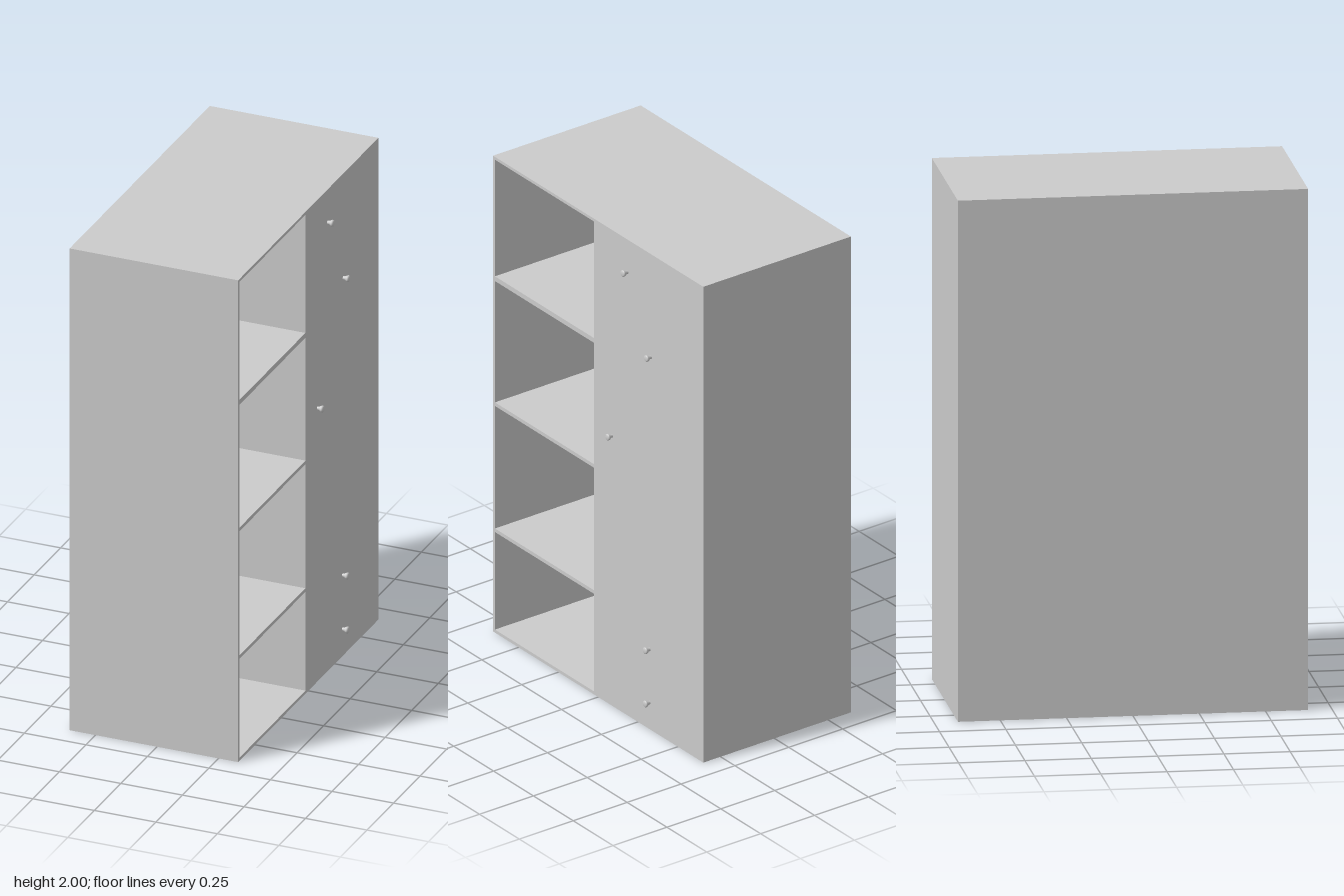
import * as THREE from 'three';

const BACK = -0.355, SIDE = 0.33, HALF_Z = 0.66, HEIGHT = 2, PANEL = 0.013;

// Rectangle outline given as corner coordinates
function trace(path, x0, y0, x1, y1) {
  path.moveTo(x0, y0);
  path.lineTo(x1, y0);
  path.lineTo(x1, y1);
  path.lineTo(x0, y1);
  path.closePath();
  return path;
}

export function createModel() {
  const group = new THREE.Group();
  const material = new THREE.MeshStandardMaterial({ color: 0xcccccc });
  const add = (name, geometry, x, y, z) => {
    const mesh = new THREE.Mesh(geometry, material);
    mesh.name = name;
    mesh.position.set(x, y, z);
    group.add(mesh);
    return mesh;
  };

  // Cabinet body: side outline with four open compartments (shape x is -z)
  const outline = trace(new THREE.Shape(), -HALF_Z, 0, HALF_Z, HEIGHT);
  const compartments = [[0.013, 0.423], [0.438, 0.953], [0.968, 1.478], [1.498, 1.988]];
  for (const [bottom, top] of compartments) {
    outline.holes.push(trace(new THREE.Path(), -0.648, bottom, -0.027, top));
  }
  const body = new THREE.ExtrudeGeometry(outline, {
    depth: SIDE - BACK - PANEL, bevelEnabled: false,
  });
  body.rotateY(Math.PI / 2);
  add('cabinetBody', body, BACK + PANEL, 0, 0);

  // Panel closing the far side of the compartments
  add('backPanel', new THREE.BoxGeometry(PANEL, HEIGHT, 2 * HALF_Z),
    BACK + PANEL / 2, HEIGHT / 2, 0);

  // Small flared knobs on the closed part of the open side
  const profile = [[0.007, 0], [0.007, 0.006], [0.013, 0.018], [0.013, 0.022], [0.009, 0.025], [0, 0.025]]
    .map(([r, h]) => new THREE.Vector2(r, h));
  const knob = new THREE.LatheGeometry(profile, 16);
  knob.rotateZ(-Math.PI / 2);
  const knobs = [[1.863, -0.183], [1.567, -0.33], [1.135, -0.087], [0.336, -0.323], [0.112, -0.323]];
  for (const [y, z] of knobs) add('knob', knob, SIDE, y, z);

  return group;
}
